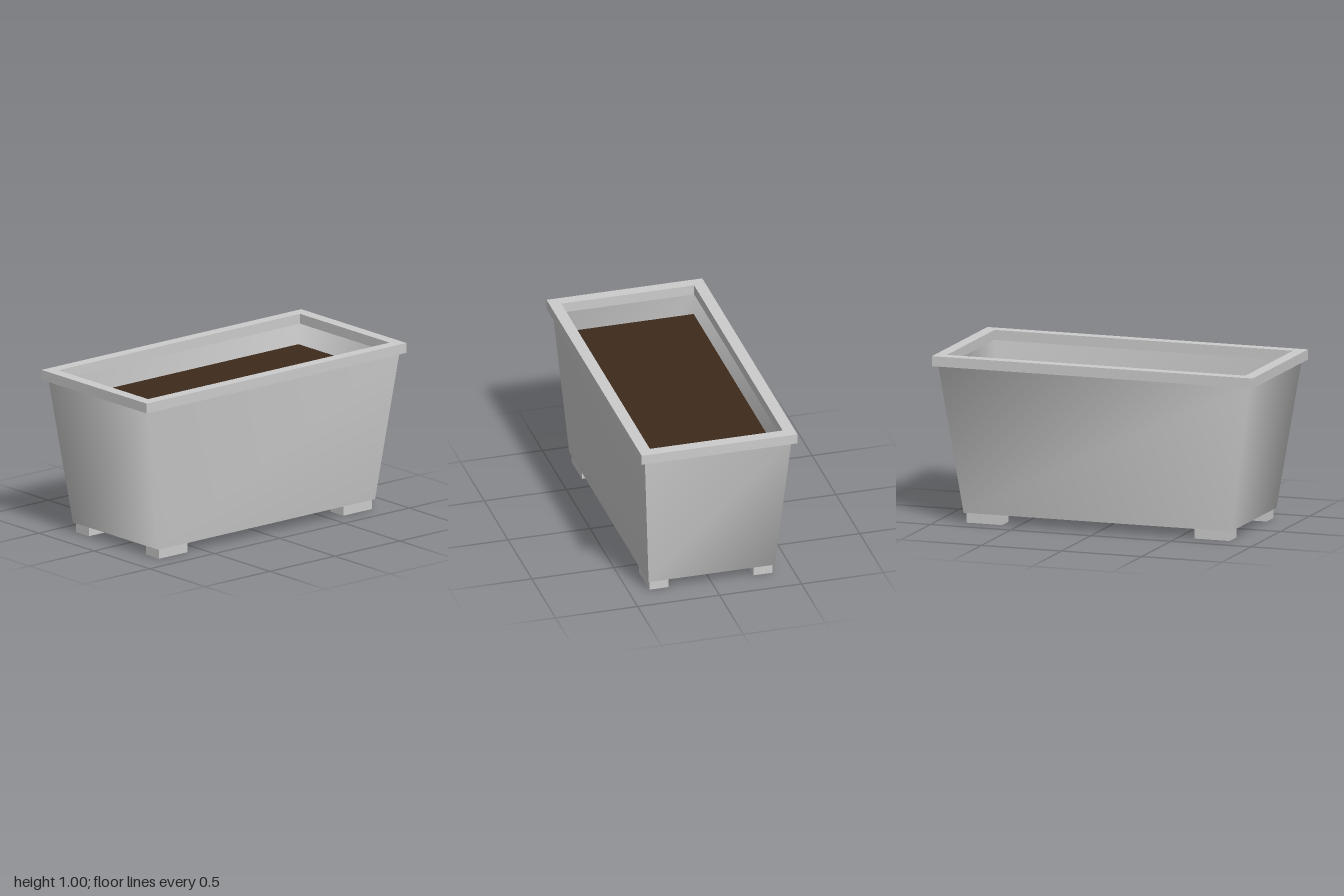
import * as THREE from 'three';

const grey = new THREE.MeshStandardMaterial({ color: 0xcccccc });
const brown = new THREE.MeshStandardMaterial({ color: 0x3d2a1c, side: THREE.DoubleSide });

function add(group, name, geometry, material, x = 0, y = 0, z = 0) {
  const mesh = new THREE.Mesh(geometry, material);
  mesh.name = name;
  mesh.position.set(x, y, z);
  group.add(mesh);
}

// Tapered hollow wall: a closed profile swept round four corners, softly shaded, with one seam
function wallGeometry() {
  const profile = [ // half width, half depth, height
    [0.835, 0.385, 0.06], [0.97, 0.447, 0.94], // outside
    [0.93, 0.405, 0.94], [0.80, 0.345, 0.06], // inside
  ];
  const corners = [[1, 1], [1, -1], [-1, -1], [-1, 1], [1, 1]];
  const n = profile.length;
  const positions = [];
  const index = [];
  for (const [sx, sz] of corners) {
    for (const [hx, hz, y] of profile) positions.push(sx * hx, y, sz * hz);
  }
  for (let i = 0; i < 4; i++) {
    for (let j = 0; j < n; j++) {
      const k = (j + 1) % n;
      const a = i * n + j, b = (i + 1) * n + j;
      const c = (i + 1) * n + k, d = i * n + k;
      index.push(a, b, c, a, c, d);
    }
  }
  const geometry = new THREE.BufferGeometry();
  geometry.setAttribute('position', new THREE.Float32BufferAttribute(positions, 3));
  geometry.setIndex(index);
  geometry.computeVertexNormals();
  return geometry;
}

function rectangle(path, hx, hz) {
  path.moveTo(-hx, -hz);
  path.lineTo(hx, -hz);
  path.lineTo(hx, hz);
  path.lineTo(-hx, hz);
  path.closePath();
  return path;
}

// Flat rectangular frame
function rimGeometry() {
  const shape = rectangle(new THREE.Shape(), 1, 0.475);
  shape.holes.push(rectangle(new THREE.Path(), 0.93, 0.405));
  return new THREE.ExtrudeGeometry(shape, { depth: 0.06, bevelEnabled: false }).rotateX(-Math.PI / 2);
}

export function createModel() {
  const group = new THREE.Group();
  group.name = 'planter';

  add(group, 'wall', wallGeometry(), grey);
  add(group, 'rim', rimGeometry(), grey, 0, 0.94, 0);
  add(group, 'floor', new THREE.BoxGeometry(1.6, 0.04, 0.69), grey, 0, 0.08, 0);
  add(group, 'soil', new THREE.PlaneGeometry(1.824, 0.794).rotateX(-Math.PI / 2), brown, 0, 0.82, 0);

  // Four feet under the corners
  const foot = new THREE.BoxGeometry(0.22, 0.06, 0.116);
  for (const sx of [-1, 1]) {
    for (const sz of [-1, 1]) {
      const name = `${sz > 0 ? 'front' : 'back'}${sx > 0 ? 'Left' : 'Right'}Foot`;
      add(group, name, foot, grey, sx * 0.71, 0.03, sz * 0.317);
    }
  }
  return group;
}
